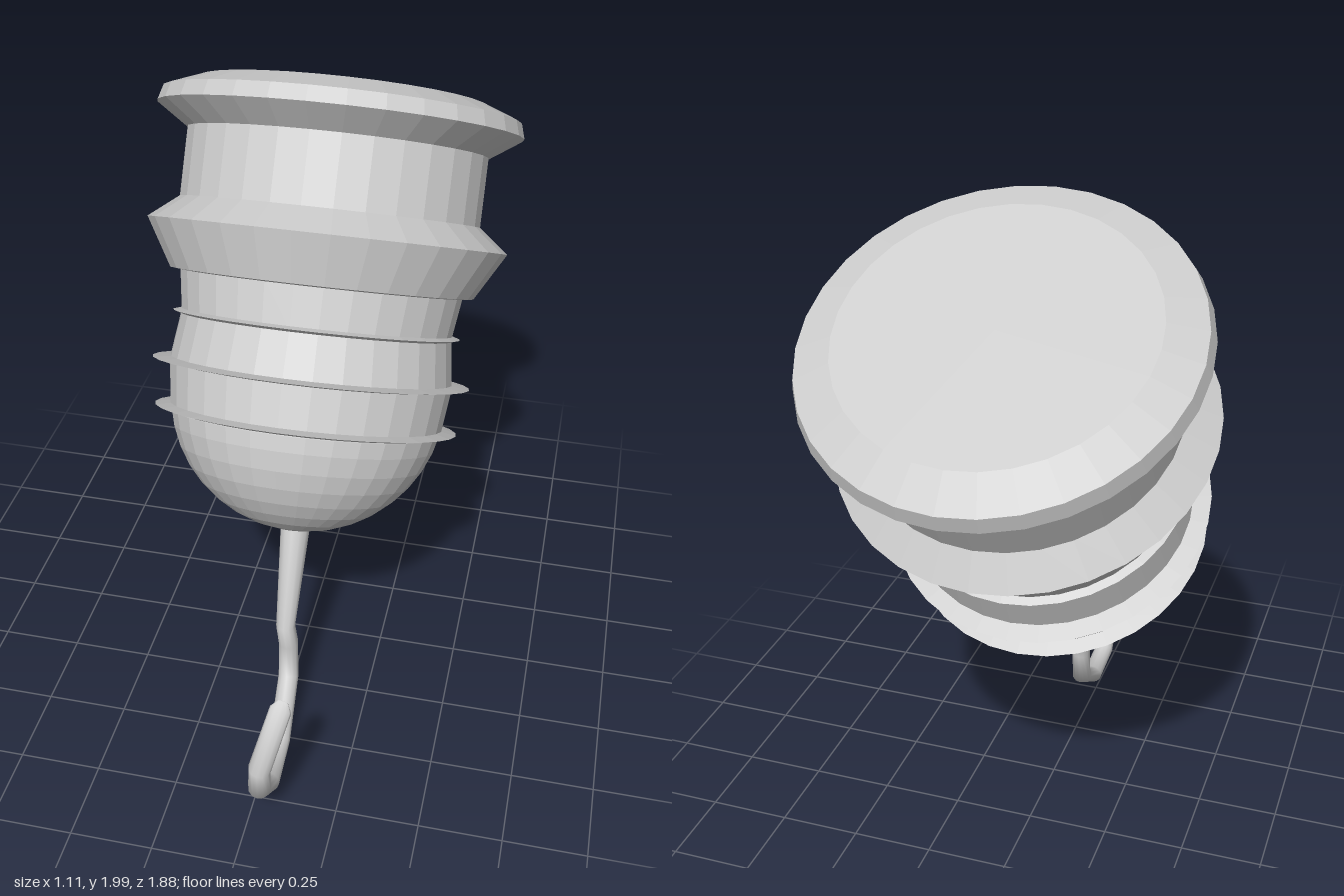
import * as THREE from 'three';

const material = new THREE.MeshStandardMaterial({ color: 0xcccccc, flatShading: true, side: THREE.DoubleSide });

// Turned part from [radius, height] pairs, bottom to top; the stack leans slightly along its axis
function turned(name, profile) {
  const geometry = new THREE.LatheGeometry(profile.map(([r, y]) => new THREE.Vector2(r, y)), 32);
  const p = geometry.attributes.position;
  for (let i = 0; i < p.count; i++) {
    p.setZ(i, p.getZ(i) + 0.462 + (1.73 - p.getY(i)) * 0.043);
  }
  geometry.computeVertexNormals();
  const mesh = new THREE.Mesh(geometry, material);
  mesh.name = name;
  return mesh;
}

// Bent rod: one mitred ring per station [x, y, z, half width across, half thickness in the bend plane]
function bentRod(name, stations, sides) {
  const points = stations.map(s => new THREE.Vector3(s[0], s[1], s[2]));
  const last = points.length - 1;
  const direction = i => points[i + 1].clone().sub(points[i]).normalize();
  const positions = [], index = [];
  points.forEach((point, i) => {
    const before = direction(Math.max(i - 1, 0));
    const after = direction(Math.min(i, last - 1));
    const tangent = before.clone().add(after).normalize();
    const across = new THREE.Vector3(1, 0, 0).addScaledVector(tangent, -tangent.x).normalize();
    const up = tangent.clone().cross(across);
    const mitre = 1 / Math.max(0.6, tangent.dot(after));
    for (let k = 0; k < sides; k++) {
      const a = k / sides * Math.PI * 2;
      const v = point.clone()
        .addScaledVector(across, Math.cos(a) * stations[i][3])
        .addScaledVector(up, Math.sin(a) * stations[i][4] * mitre);
      positions.push(v.x, v.y, v.z);
      if (i < last) {
        const n = (k + 1) % sides, b = i * sides, c = b + sides;
        index.push(b + k, b + n, c + k, b + n, c + n, c + k);
      }
    }
  });
  const geometry = new THREE.BufferGeometry();
  geometry.setAttribute('position', new THREE.Float32BufferAttribute(positions, 3));
  geometry.setIndex(index);
  geometry.computeVertexNormals();
  const smooth = material.clone();
  smooth.flatShading = false;
  const mesh = new THREE.Mesh(geometry, smooth);
  mesh.name = name;
  return mesh;
}

export function createModel() {
  const model = new THREE.Group();
  model.name = 'hookProsthesis';

  // Tilted cup
  const cup = new THREE.Group();
  cup.name = 'cup';
  cup.rotation.x = -Math.PI / 6;
  model.add(cup);

  cup.add(turned('rim', [[0.45, 1.612], [0.555, 1.682], [0.542, 1.727], [0.434, 1.77], [0, 1.77]]));
  cup.add(turned('neck', [[0.457, 1.38], [0.457, 1.63]]));
  cup.add(turned('collar', [[0.42, 1.19], [0.463, 1.195], [0.547, 1.338], [0.452, 1.413]]));
  cup.add(turned('body', [[0.414, 0.77], [0.432, 0.92], [0.413, 1.068], [0.432, 1.2]]));

  // Sharp thin fins around the body
  for (const [radius, y] of [[0.438, 1.068], [0.484, 0.923], [0.461, 0.782]]) {
    cup.add(turned('fin', [[0.4, y - 0.012], [radius, y], [0.4, y + 0.012]]));
  }

  // Rounded bottom
  const dome = [];
  for (let i = 0; i <= 9; i++) {
    const a = i / 9 * 1.4;
    dome.push([0.42 * Math.sin(a), 0.857 - 0.42 * Math.cos(a)]);
  }
  cup.add(turned('dome', dome));

  // Hook with a flattened chisel tip
  model.add(bentRod('hook', [
    [0.0, 0.75, 0.14, 0.05, 0.05],
    [0.003, 0.63, 0.206, 0.046, 0.046],
    [0.006, 0.354, 0.36, 0.03, 0.03],
    [0.01, 0.26, 0.339, 0.031, 0.031],
    [0.016, 0.145, 0.37, 0.032, 0.028],
    [0.026, 0.033, 0.54, 0.033, 0.028],
    [0.032, 0.033, 0.709, 0.033, 0.028],
    [0.042, 0.175, 0.852, 0.033, 0.03],
    [0.06, 0.328, 0.91, 0.033, 0.03],
    [0.102, 0.485, 0.822, 0.032, 0.005],
    [0.107, 0.507, 0.81, 0.014, 0.001],
  ], 12));

  return model;
}
